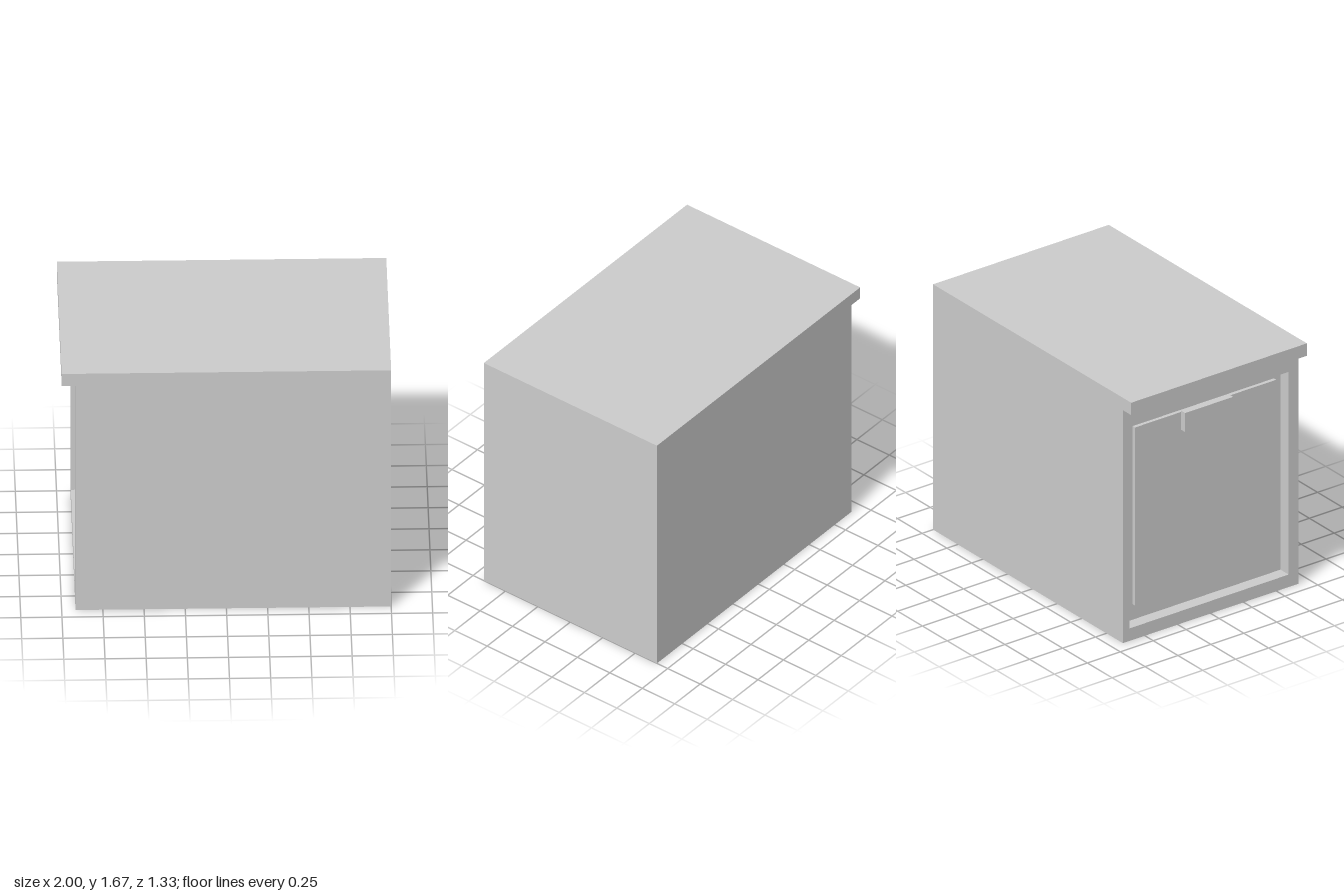
import * as THREE from 'three';

const material = new THREE.MeshStandardMaterial({ color: 0xcccccc, flatShading: true });

// Box given by its lower and upper corners
function box(name, [x0, y0, z0], [x1, y1, z1]) {
  const mesh = new THREE.Mesh(new THREE.BoxGeometry(x1 - x0, y1 - y0, z1 - z0), material);
  mesh.name = name;
  mesh.position.set((x0 + x1) / 2, (y0 + y1) / 2, (z0 + z1) / 2);
  return mesh;
}

export function createModel() {
  const group = new THREE.Group();
  group.name = 'drawerCabinet';

  const halfDepth = 0.667, wall = 0.042, inner = halfDepth - wall;
  const front = -0.916, frameBack = -0.833, topBottom = 1.583;

  // Worktop, overhanging the drawer side
  group.add(box('worktop', [-1, topBottom, -halfDepth], [1, 1.667, halfDepth]));

  // Shell with open underside
  group.add(box('endWall', [1 - wall, 0, -inner], [1, topBottom, inner]));
  for (const s of [-1, 1]) {
    const z = [s * inner, s * halfDepth].sort((a, b) => a - b);
    group.add(box('sideWall', [frameBack, 0, z[0]], [1, topBottom, z[1]]));
  }

  // Frame round the drawer opening
  const opening = new THREE.Path();
  const w0 = -0.592, w1 = 0.618, sill = 0.085, head = 1.462;
  opening.moveTo(w0, sill).lineTo(w0, head).lineTo(w1, head).lineTo(w1, sill).closePath();
  const outline = new THREE.Shape();
  outline.moveTo(-halfDepth, 0).lineTo(halfDepth, 0).lineTo(halfDepth, topBottom)
    .lineTo(-halfDepth, topBottom).closePath();
  outline.holes.push(opening);
  const frame = new THREE.Mesh(
    new THREE.ExtrudeGeometry(outline, { depth: frameBack - front, bevelEnabled: false }), material);
  frame.name = 'frontFrame';
  frame.rotation.y = Math.PI / 2;
  frame.position.x = front;
  group.add(frame);

  // Drawer front with backing plate and handle
  const drawer = new THREE.Group();
  drawer.name = 'drawer';
  const plateBack = frameBack + 0.01;
  drawer.add(
    box('backingPlate', [frameBack, sill - 0.002, -inner], [plateBack, topBottom, inner]),
    box('drawerFront', [-0.857, 0.19, -0.53], [frameBack, 1.4, 0.542]),
    box('handle', [-0.9, 1.28, -0.182], [-0.857, 1.41, 0.182])
  );

  // Open-topped drawer box
  const bottom = 0.245, rim = 1.4, back = 0.875, half = 0.542;
  drawer.add(
    box('drawerBottom', [plateBack, bottom, -half], [back, bottom + wall, half]),
    box('drawerBack', [back - wall, bottom + wall, -half], [back, rim, half])
  );
  for (const s of [-1, 1]) {
    const z = [s * half, s * (half - wall)].sort((a, b) => a - b);
    drawer.add(box('drawerSide', [plateBack, bottom + wall, z[0]], [back - wall, rim, z[1]]));
  }
  group.add(drawer);

  return group;
}
